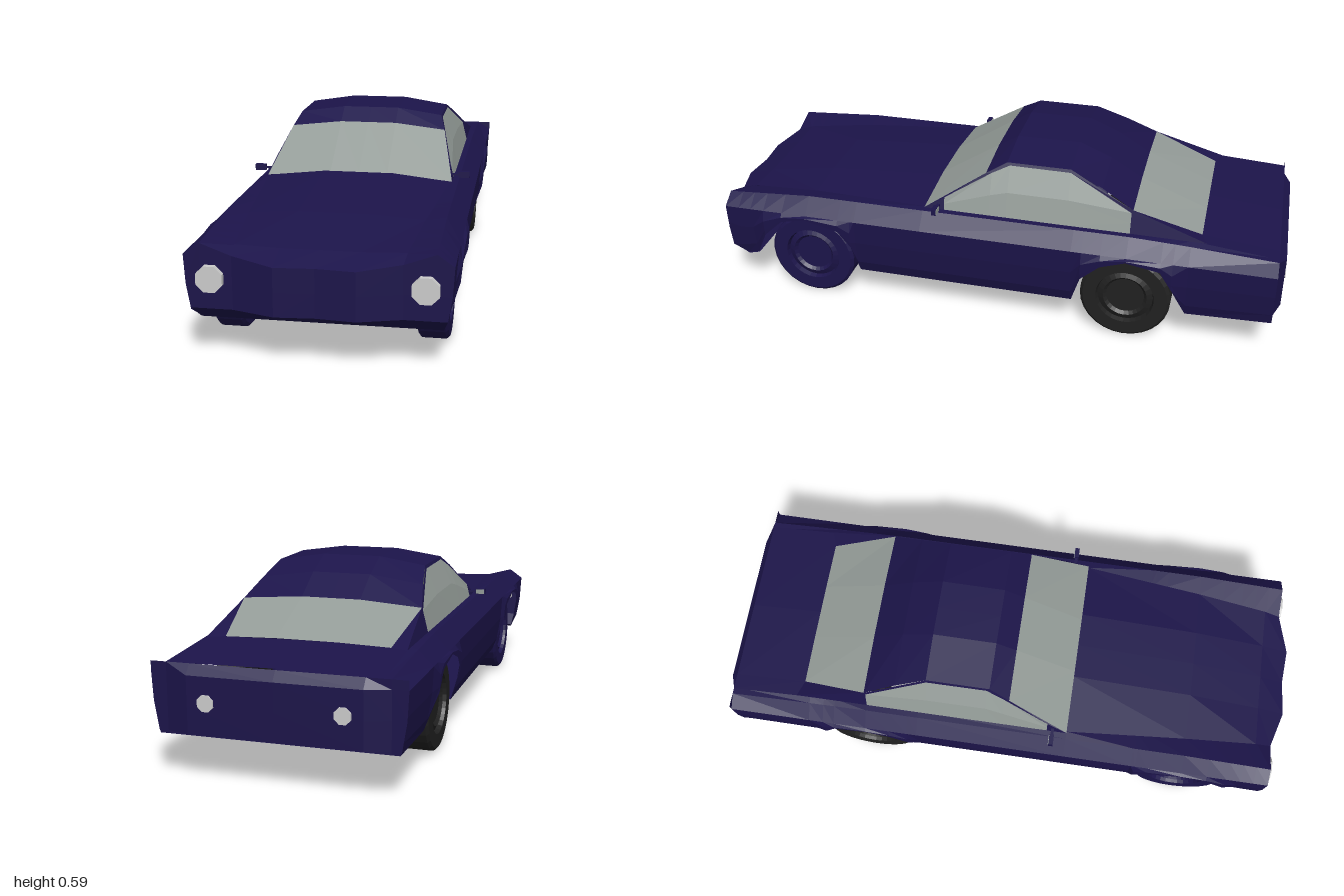
import * as THREE from 'three';

const paint = color => new THREE.MeshStandardMaterial({ color, flatShading: true, side: THREE.DoubleSide });

// Piecewise-linear lookup through [key, value] pairs in ascending key order
function interp(table, k) {
  if (k <= table[0][0]) return table[0][1];
  for (let i = 1; i < table.length; i++) {
    const [a, va] = table[i - 1], [b, vb] = table[i];
    if (k <= b) return va + (vb - va) * (k - a) / (b - a);
  }
  return table[table.length - 1][1];
}

// Skin a grid of points given as rows of [x, y, z]
function sheetGeometry(rows) {
  const n = rows[0].length, index = [];
  for (let r = 0; r < rows.length - 1; r++) {
    for (let c = 0; c < n - 1; c++) {
      const a = r * n + c, b = a + n;
      index.push(a, b, a + 1, a + 1, b, b + 1);
    }
  }
  const g = new THREE.BufferGeometry();
  g.setAttribute('position', new THREE.Float32BufferAttribute(rows.flat(2), 3));
  g.setIndex(index);
  g.computeVertexNormals();
  return g;
}

export function createModel() {
  const car = new THREE.Group();
  car.name = 'car';
  const body = paint(0x1c144a), glass = paint(0x949c98), lamp = paint(0xcccccc), rubber = paint(0x202020);

  function add(name, geometry, material, x = 0, y = 0, z = 0) {
    const m = new THREE.Mesh(geometry, material);
    m.name = name;
    m.position.set(x, y, z);
    car.add(m);
    return m;
  }
  const sheet = (name, rows, mat) => add(name, sheetGeometry(rows), mat);
  const flip = rows => rows.map(r => r.map(([x, y, z]) => [-x, y, z]));
  const pair = (name, rows, mat) => {
    sheet('left' + name, rows, mat);
    sheet('right' + name, flip(rows), mat);
  };
  // Extend a half row (centre to left edge) across to the right edge
  const whole = half => [...half.slice(1).reverse().map(([x, y, z]) => [-x, y, z]), ...half];

  // Half widths of the lower body and of the cabin by height
  const bodyX = y => interp([[0.115, 0.36], [0.15, 0.375], [0.24, 0.39], [0.33, 0.395]], y);
  const cabinX = y => interp([[0.385, 0.325], [0.465, 0.305], [0.568, 0.258]], y);
  const fenderY = z => interp([[-0.975, 0.36], [-0.74, 0.375], [-0.5, 0.385], [0.65, 0.385], [0.955, 0.365]], z);
  const ledgeX = z => interp([[0.22, 0.32], [0.955, 0.25]], z);
  const ledgeY = z => interp([[-0.975, 0.36], [-0.72, 0.385], [0.23, 0.388], [0.65, 0.372], [0.9, 0.348], [0.955, 0.33]], z);

  // Sides with the wheel arches cut into their lower edge: [z, bottom y]
  const sill = [[0.955, 0.16], [0.905, 0.125], [0.86, 0.14], [0.81, 0.235], [0.74, 0.3], [0.65, 0.32],
    [0.53, 0.29], [0.485, 0.23], [0.47, 0.115], [0.23, 0.115], [-0.3, 0.115], [-0.335, 0.23], [-0.4, 0.29],
    [-0.485, 0.32], [-0.6, 0.3], [-0.64, 0.235], [-0.69, 0.125], [-0.975, 0.14]];
  pair('Side', sill.map(([z, yb]) => {
    const flare = yb > 0.2 ? 0.012 : 0;
    const row = [[ledgeX(z), ledgeY(z), z], [0.345, fenderY(z), z]];
    for (const t of [0, 0.4, 0.8, 1]) {
      const y = 0.33 + (yb - 0.33) * t;
      row.push([bodyX(y) + (t ? flare : 0), y, z]);
    }
    return row;
  }), body);

  // Hood and boot lid
  const hood = [[0.23, 0.41], [0.65, 0.383], [0.9, 0.343], [0.985, 0.315]].map(([z, y], i) => {
    const ze = Math.min(z, 0.955);
    return whole([[0, y, z], [0.12, y, i === 3 ? 0.995 : z], [ledgeX(ze), ledgeY(ze), ze]]);
  });
  sheet('hood', hood, body);
  sheet('bootLid', [-0.72, -0.975].map(z => whole([[0, ledgeY(z) + 0.004, z], [0.27, ledgeY(z), z], [0.325, ledgeY(z), z]])), body);

  // Nose with its tucked-under lower lip
  const noseCols = [[0, 0.315, 0.985], [0.12, 0.315, 0.995], [0.25, 0.33, 0.955], [0.345, 0.365, 0.955], [0.395, 0.33, 0.955]];
  const noseRow = (y, z) => whole(noseCols.map(c => [Math.min(c[0], bodyX(y)), y, z ?? c[2]]));
  sheet('nose', [whole(noseCols), noseRow(0.24), noseRow(0.165), noseRow(0.12, 0.905), noseRow(0.135, 0.86)], body);

  // Tail with a raised centre panel
  const tailRow = (y, zMid) => whole([[0, y, zMid], [0.27, y, zMid], [0.345, y, -0.975], [bodyX(y), y, -0.975]]);
  sheet('tail', [tailRow(0.36, -0.975), tailRow(0.33, -1), tailRow(0.24, -1), tailRow(0.15, -1), tailRow(0.14, -0.97)], body);

  // Floor pans between the open wheel wells
  const pan = (name, ends) => sheet(name, ends.map(([z, y]) => [[-bodyX(y), y, z], [bodyX(y), y, z]]), body);
  pan('floor', [[0.47, 0.115], [-0.3, 0.115]]);
  pan('rearPan', [[-0.69, 0.125], [-0.975, 0.14]]);

  // Roof, windscreen and rear window: [z, centre y, edge y]
  const cabinRow = ([z, yc, ye, xe]) => {
    const x = xe ?? cabinX(ye);
    return whole([[0, yc, z], [0.1, yc, z], [x, ye, z]]);
  };
  const front = [0.02, 0.545, 0.525], back = [-0.49, 0.48, 0.465];
  sheet('roof', [front, [-0.05, 0.588, 0.565], [-0.27, 0.59, 0.565], [-0.38, 0.545, 0.52], back].map(cabinRow), body);
  sheet('windscreen', [[0.23, 0.41, 0.388], front].map(cabinRow), glass);
  sheet('rearWindow', [back, [-0.72, 0.39, 0.385, 0.27]].map(cabinRow), glass);
  pair('RearPillar', [[[0.305, 0.465, -0.49], [0.305, 0.465, -0.49]], [[0.27, 0.385, -0.72], [0.325, 0.385, -0.74]]], body);

  // Side window frames and panes, as outlines of [z, y]
  const outer = [[0.23, 0.385], [0.23, 0.388], [0.02, 0.525], [-0.05, 0.565], [-0.27, 0.565], [-0.49, 0.465], [-0.74, 0.385]];
  const inner = [[0.16, 0.386], [0.16, 0.43], [0, 0.527], [-0.06, 0.556], [-0.27, 0.555], [-0.485, 0.455], [-0.485, 0.386]];
  const onCabin = ([z, y]) => [cabinX(y), y, z];
  pair('WindowFrame', [outer.map(onCabin), inner.map(onCabin)], body);
  const paneTop = inner.slice(1, 6);
  pair('SideWindow', [0, 0.5, 1].map(t => paneTop.map(([z, y]) => onCabin([z, y + (0.386 - y) * t]))), glass);

  // Lamps
  const disc = (r, depth) => new THREE.CylinderGeometry(r, r, depth, 8).rotateY(Math.PI / 8).rotateX(Math.PI / 2);
  for (const s of [-1, 1]) {
    add('headlight', disc(0.043, 0.025), lamp, s * 0.315, 0.26, 0.96);
    add('tailLight', disc(0.027, 0.02), lamp, s * 0.21, 0.25, -0.995);
  }

  // Door mirrors on short arms
  for (const s of [-1, 1]) {
    add('mirrorArm', new THREE.BoxGeometry(0.04, 0.006, 0.01), body, s * 0.33, 0.402, 0.18);
    add('mirror', new THREE.BoxGeometry(0.037, 0.021, 0.016), body, s * 0.362, 0.403, 0.18);
    add('mirrorGlass', new THREE.BoxGeometry(0.031, 0.016, 0.002), glass, s * 0.362, 0.403, 0.171);
  }

  // Wheels with recessed rims, joined by axles
  const profile = [[0, -0.03], [0.065, -0.03], [0.075, -0.04], [0.095, -0.03], [0.1, -0.047], [0.145, -0.047], [0.155, -0.038]];
  const points = [...profile, ...profile.slice().reverse().map(([r, h]) => [r, -h])].map(p => new THREE.Vector2(...p));
  const wheel = new THREE.LatheGeometry(points, 28).rotateZ(Math.PI / 2);
  const axle = new THREE.CylinderGeometry(0.035, 0.035, 0.56, 12).rotateZ(Math.PI / 2);
  for (const [name, z, mat] of [['front', 0.65, body], ['rear', -0.485, rubber]]) {
    for (const s of [-1, 1]) add(name + 'Wheel', wheel, mat, s * 0.318, 0.155, z);
    add(name + 'Axle', axle, mat, 0, 0.155, z);
  }
  return car;
}
